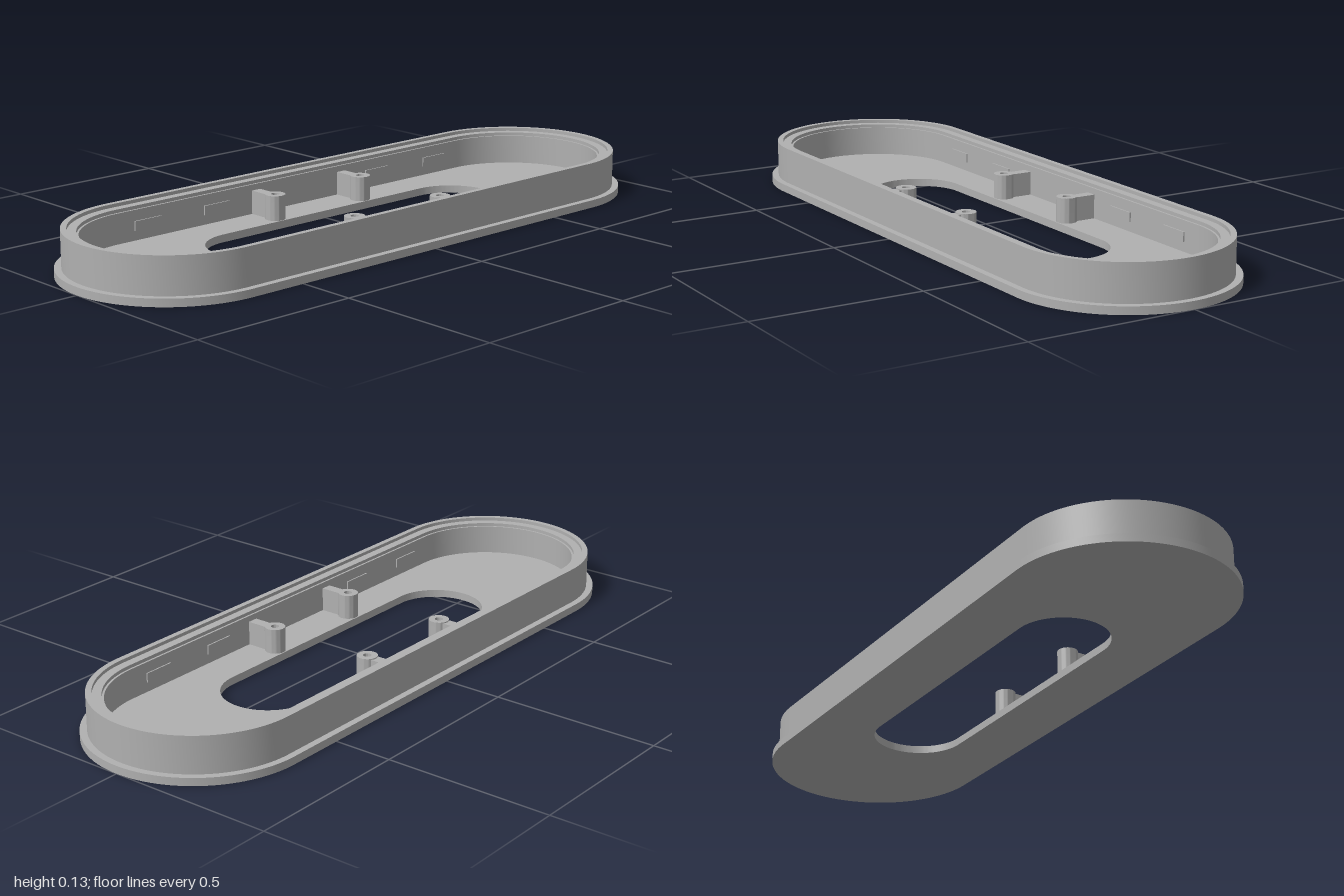
import * as THREE from 'three';
import { toCreasedNormals } from 'three/addons/utils/BufferGeometryUtils.js';

const FLOOR = 0.023;

// Stadium outline: straight sides of half-length c joined by half circles of radius r
function stadium(PathType, c, r) {
  const p = new PathType();
  p.moveTo(-c, -r);
  p.lineTo(c, -r);
  p.absarc(c, 0, r, -Math.PI / 2, Math.PI / 2, false);
  p.lineTo(-c, r);
  p.absarc(-c, 0, r, Math.PI / 2, Math.PI * 1.5, false);
  return p;
}

// Extrude a plan shape upward from y0 to y1
function slab(shape, y0, y1) {
  const geo = new THREE.ExtrudeGeometry(shape, { depth: y1 - y0, bevelEnabled: false, curveSegments: 32 });
  geo.rotateX(-Math.PI / 2);
  geo.translate(0, y0, 0);
  return toCreasedNormals(geo, 0.6);
}

function ring(c, rOut, cIn, rIn, y0, y1) {
  const shape = stadium(THREE.Shape, c, rOut);
  shape.holes.push(stadium(THREE.Path, cIn, rIn));
  return slab(shape, y0, y1);
}

export function createModel() {
  const group = new THREE.Group();
  const grey = new THREE.MeshStandardMaterial({ color: 0xb0b0b0 });
  grey.name = 'grey plastic';

  const add = (name, geo, x = 0, y = 0, z = 0) => {
    const mesh = new THREE.Mesh(geo, grey);
    mesh.name = name;
    mesh.position.set(x, y, z);
    group.add(mesh);
  };

  // Base plate with its flange and central opening
  add('basePlate', ring(0.675, 0.325, 0.395, 0.137, 0, FLOOR));

  // Wall, stepped down toward the inside of the rim
  add('outerWall', ring(0.675, 0.305, 0.675, 0.288, FLOOR - 0.003, 0.132));
  add('innerWall', ring(0.675, 0.288, 0.675, 0.262, FLOOR - 0.003, 0.122));
  add('innerLip', ring(0.675, 0.262, 0.675, 0.256, FLOOR - 0.003, 0.112));

  // Hollow screw post
  const postShape = new THREE.Shape();
  postShape.absarc(0, 0, 0.03, 0, Math.PI * 2, false);
  const bore = new THREE.Path();
  bore.absarc(0, 0, 0.012, 0, Math.PI * 2, true);
  postShape.holes.push(bore);
  const postGeo = slab(postShape, FLOOR - 0.003, 0.097);
  const ribGeo = new THREE.BoxGeometry(0.032, 0.074, 0.068);
  const catchGeo = new THREE.BoxGeometry(0.095, 0.028, 0.006);

  for (const side of [-1, 1]) {
    // Posts tied to the wall by ribs
    for (const x of [-0.17, 0.17]) {
      add('screwPost', postGeo, x, 0, side * 0.17);
      add('postRib', ribGeo, x, 0.057, side * 0.226);
    }
    // Small catches along the inner wall
    for (const x of [-0.57, -0.32, 0.32, 0.57]) add('wallCatch', catchGeo, x, 0.066, side * 0.255);
  }
  return group;
}
